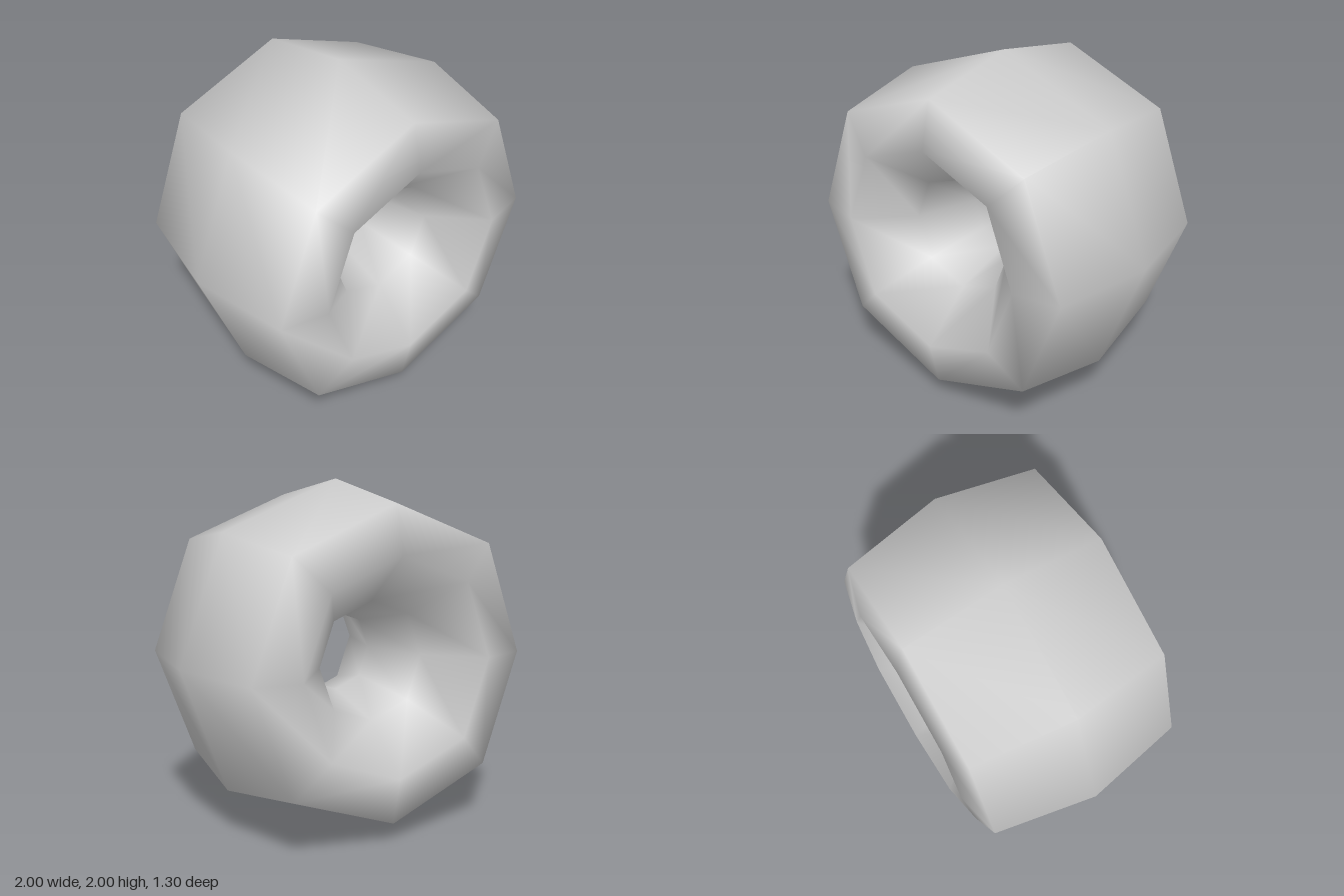
import * as THREE from 'three';
import { mergeVertices } from 'three/addons/utils/BufferGeometryUtils.js';

export function createModel() {
  const group = new THREE.Group();
  group.name = 'ringModel';
  const grey = new THREE.MeshStandardMaterial({ color: 0xcccccc });
  grey.name = 'light grey';

  // eight-sided ring with an eight-sided tube
  const torus = new THREE.TorusGeometry(0.615, 0.385, 8, 8);
  torus.deleteAttribute('uv');
  torus.deleteAttribute('normal');
  const geometry = mergeVertices(torus, 1e-4);

  // stretch the tube along z, fuller outside than inside, and widen the diagonal corners
  const depths = [0, 0.59, 0.65, 0.365, 0]; // from the outer edge to the hole
  const pos = geometry.attributes.position;
  for (let i = 0; i < pos.count; i++) {
    const x = pos.getX(i), y = pos.getY(i), z = pos.getZ(i);
    const tubeAngle = Math.atan2(Math.abs(z), Math.hypot(x, y) - 0.615);
    const depth = depths[Math.round(tubeAngle / (Math.PI / 4))];
    const diagonal = Math.abs(x * y) > 1e-3 ? 1.028 : 1;
    pos.setXYZ(i, x * diagonal, y * diagonal, Math.sign(z) * depth);
  }
  geometry.computeVertexNormals();

  const ring = new THREE.Mesh(geometry, grey);
  ring.name = 'ring';
  ring.position.y = 1;
  group.add(ring);
  return group;
}
